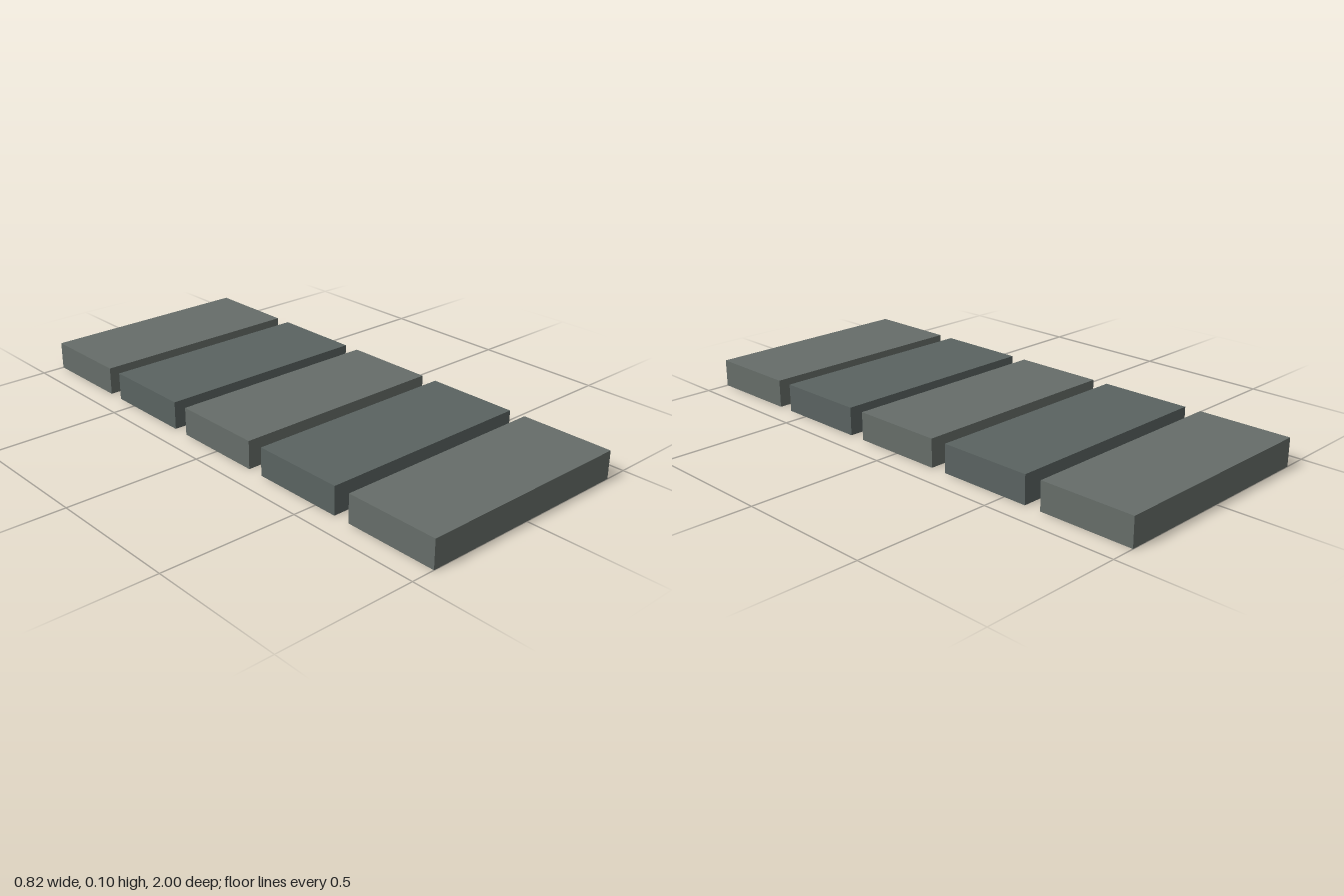
import * as THREE from 'three';

const COUNT = 5;
const WIDTH = 0.825, HEIGHT = 0.103, DEPTH = 0.35;
const PITCH = (2 - DEPTH) / (COUNT - 1);

export function createModel() {
  const model = new THREE.Group();
  model.name = 'steppingSlabs';

  // Two alternating shades of grey-green stone
  const stones = [0x666d69, 0x5a6361].map(
    (color) => new THREE.MeshStandardMaterial({ color })
  );
  const slabGeometry = new THREE.BoxGeometry(WIDTH, HEIGHT, DEPTH);

  // Row of separate slabs from back to front
  for (let i = 0; i < COUNT; i++) {
    const slab = new THREE.Mesh(slabGeometry, stones[i % 2]);
    slab.name = `slab${i + 1}`;
    slab.position.set(0, HEIGHT / 2, (i - (COUNT - 1) / 2) * PITCH);
    model.add(slab);
  }
  return model;
}
